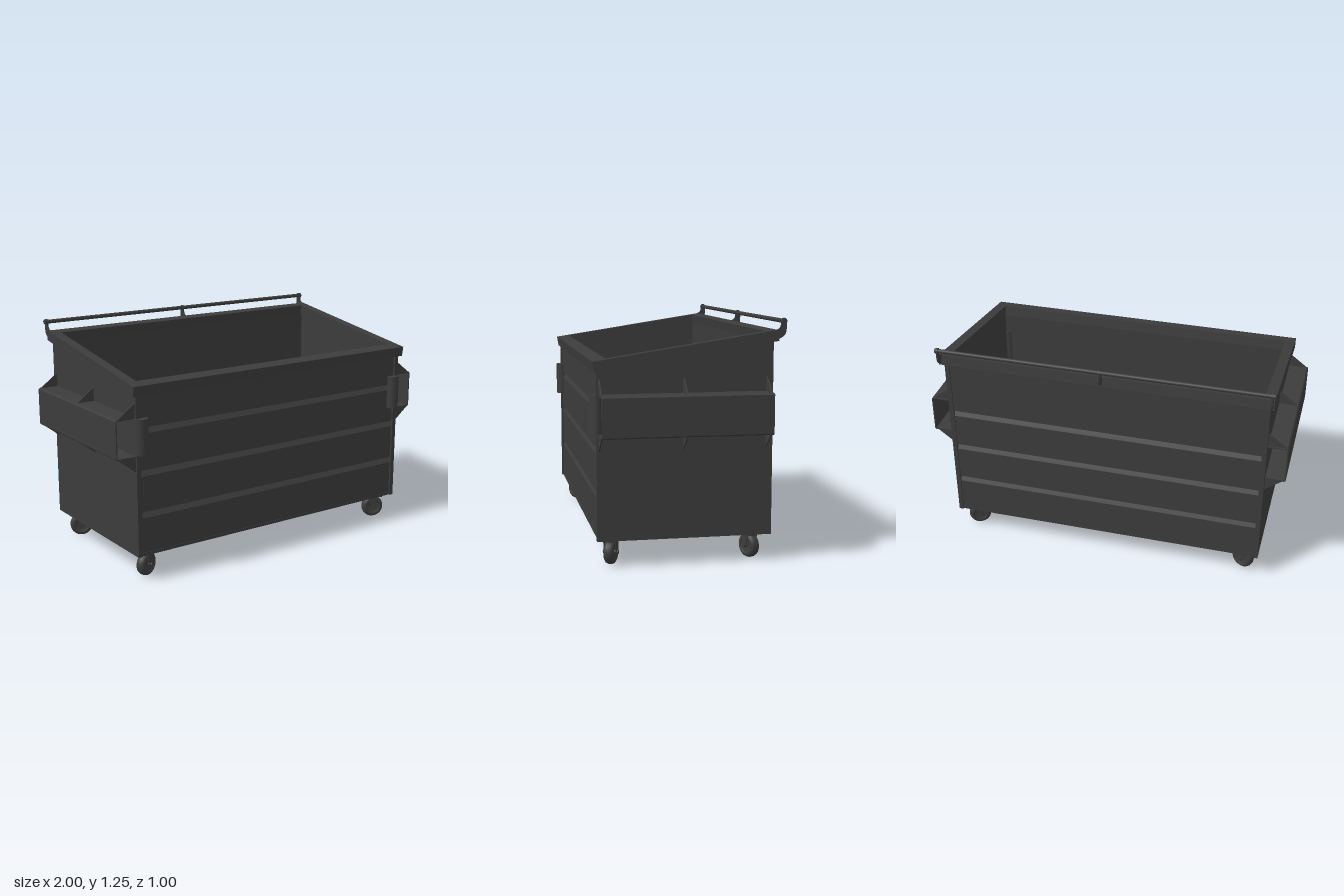
import * as THREE from 'three';

const material = new THREE.MeshStandardMaterial({ color: 0x3c3c3c });

function add(parent, name, geometry, x = 0, y = 0, z = 0) {
  const mesh = new THREE.Mesh(geometry, material);
  mesh.name = name;
  mesh.position.set(x, y, z);
  parent.add(mesh);
  return mesh;
}

const polygon = (points) => new THREE.Shape(points.map(([a, b]) => new THREE.Vector2(a, b)));

// Extrudes a shape centred on its depth axis
function extrude(shape, depth, curveSegments = 12) {
  return new THREE.ExtrudeGeometry(shape, { depth, bevelEnabled: false, curveSegments })
    .translate(0, 0, -depth / 2);
}

// Extrudes a (z, y) outline along x
const extrudeX = (shape, width) => extrude(shape, width).rotateY(-Math.PI / 2);

// Wall outline with three V-shaped pressed grooves on its outer face
function groovedWall(outer, inner, top) {
  const dir = Math.sign(outer);
  const points = [[inner, 0.14], [outer, 0.14]];
  for (const y of [0.345, 0.57, 0.795]) {
    points.push([outer, y], [outer - dir * 0.016, y + 0.027], [outer, y + 0.033]);
  }
  points.push([outer, top], [inner, top]);
  return polygon(points);
}

function createBody() {
  const body = new THREE.Group();
  body.name = 'body';
  add(body, 'floor', new THREE.BoxGeometry(1.74, 0.015, 0.89), 0, 0.1485, 0.0175);
  add(body, 'frontWall', extrudeX(groovedWall(0.46, 0.435, 1.01), 1.74));
  add(body, 'backWall', extrudeX(groovedWall(-0.427, -0.405, 1.15), 1.74));
  const side = polygon([[0.47, 0.14], [0.47, 1.01], [-0.435, 1.15], [-0.435, 0.14]]);
  for (const s of [-1, 1]) add(body, 'sideWall', extrudeX(side, 0.025), s * 0.8775);
  return body;
}

// Square-section frame lying on the sloping top edge
function createRim() {
  const half = 0.475;
  const ring = polygon([[-0.91, -half], [0.91, -half], [0.91, half], [-0.91, half]]);
  ring.holes.push(polygon([[-0.855, -0.404], [-0.855, 0.422], [0.855, 0.422], [0.855, -0.404]]));
  const geometry = new THREE.ExtrudeGeometry(ring, { depth: 0.056, bevelEnabled: false });
  geometry.translate(0, 0, -0.056).rotateX(-Math.PI / 2 + Math.atan2(0.145, 0.94));
  const rim = new THREE.Mesh(geometry, material);
  rim.name = 'rim';
  rim.position.set(0, 1.1225, 0.02);
  return rim;
}

// Fork pocket with gussets and a rounded guide at the front corner
function createPocket(s) {
  const pocket = new THREE.Group();
  pocket.name = s > 0 ? 'leftForkPocket' : 'rightForkPocket';
  const mirror = (points) => polygon(points.map(([x, y]) => [s * x, y]));
  const t = 0.007;
  const channel = mirror([
    [0.885, 0.676], [0.993, 0.676], [1, 0.683], [1, 0.879], [0.993, 0.886], [0.885, 0.886],
    [0.885, 0.886 - t], [1 - t, 0.886 - t], [1 - t, 0.676 + t], [0.885, 0.676 + t],
  ]);
  add(pocket, 'channel', extrude(channel, 0.872), 0, 0, 0.023);
  for (const z of [0.456, 0.028, -0.402]) {
    const upper = mirror([[0.885, 0.885], [0.99, 0.885], [0.89, 0.96], [0.885, 0.96]]);
    const lower = mirror([[0.885, 0.677], [0.99, 0.677], [0.89, 0.6], [0.885, 0.6]]);
    add(pocket, 'upperGusset', extrude(upper, 0.007), 0, 0, z);
    add(pocket, 'lowerGusset', extrude(lower, 0.007), 0, 0, z);
  }
  const guide = new THREE.CylinderGeometry(0.037, 0.037, 0.19, 32);
  add(pocket, 'cornerGuide', guide, s * 0.858, 0.784, 0.463);
  return pocket;
}

// Hinge rod carried by three curved lugs
function createHinge() {
  const hinge = new THREE.Group();
  hinge.name = 'lidHinge';
  const lug = new THREE.Shape();
  lug.moveTo(-0.44, 1.195);
  lug.lineTo(-0.44, 1.14);
  lug.lineTo(-0.45, 1.14);
  lug.bezierCurveTo(-0.46, 1.16, -0.495, 1.15, -0.497, 1.2);
  lug.lineTo(-0.499, 1.239);
  lug.absarc(-0.483, 1.239, 0.016, Math.PI, 0, true);
  lug.lineTo(-0.468, 1.22);
  lug.quadraticCurveTo(-0.465, 1.198, -0.44, 1.195);
  for (const x of [-0.9, 0, 0.9]) add(hinge, 'hingeLug', extrudeX(lug, 0.008), x);
  const rod = new THREE.CylinderGeometry(0.011, 0.011, 1.83, 20).rotateZ(Math.PI / 2);
  add(hinge, 'hingeRod', rod, 0, 1.239, -0.483);
  for (const s of [-1, 1]) {
    const collar = new THREE.CylinderGeometry(0.015, 0.015, 0.01, 20).rotateZ(Math.PI / 2);
    add(hinge, 'rodCollar', collar, s * 0.905, 1.239, -0.483);
  }
  return hinge;
}

// Swivel caster whose axle lies along its own z
function createCaster() {
  const caster = new THREE.Group();
  caster.name = 'caster';
  add(caster, 'mountPlate', new THREE.BoxGeometry(0.1, 0.012, 0.085), 0, 0.134, 0);
  add(caster, 'swivel', new THREE.CylinderGeometry(0.035, 0.035, 0.012, 24), 0, 0.124, 0);
  // Rounded tyre with a recessed disc
  const profile = [[0.001, -0.018], [0.034, -0.018], [0.038, -0.026], [0.05, -0.026], [0.059, -0.02],
    [0.064, -0.008], [0.064, 0.008], [0.059, 0.02], [0.05, 0.026], [0.038, 0.026],
    [0.034, 0.018], [0.001, 0.018]].map(([r, h]) => new THREE.Vector2(r, h));
  add(caster, 'wheel', new THREE.LatheGeometry(profile, 36).rotateX(Math.PI / 2), 0, 0.064, 0);
  add(caster, 'axle', new THREE.CylinderGeometry(0.01, 0.01, 0.082, 16).rotateX(Math.PI / 2), 0, 0.064, 0);
  // Fork: crown and two tapered legs
  add(caster, 'forkCrown', new THREE.BoxGeometry(0.055, 0.006, 0.066), 0, 0.126, 0);
  const leg = new THREE.Shape();
  leg.moveTo(-0.028, 0.128);
  leg.lineTo(-0.015, 0.064);
  leg.absarc(0, 0.064, 0.015, Math.PI, Math.PI * 2, false);
  leg.lineTo(0.028, 0.128);
  for (const s of [-1, 1]) add(caster, 'forkLeg', extrude(leg, 0.005), 0, 0, s * 0.031);
  return caster;
}

export function createModel() {
  const model = new THREE.Group();
  model.name = 'dumpster';
  model.add(createBody(), createRim(), createHinge());
  for (const s of [-1, 1]) {
    model.add(createPocket(s));
    for (const z of [0.388, -0.343]) {
      const caster = createCaster();
      caster.position.set(s * 0.8, 0, z);
      caster.rotation.y = -Math.sign(s * z) * 0.42;
      model.add(caster);
    }
  }
  return model;
}
